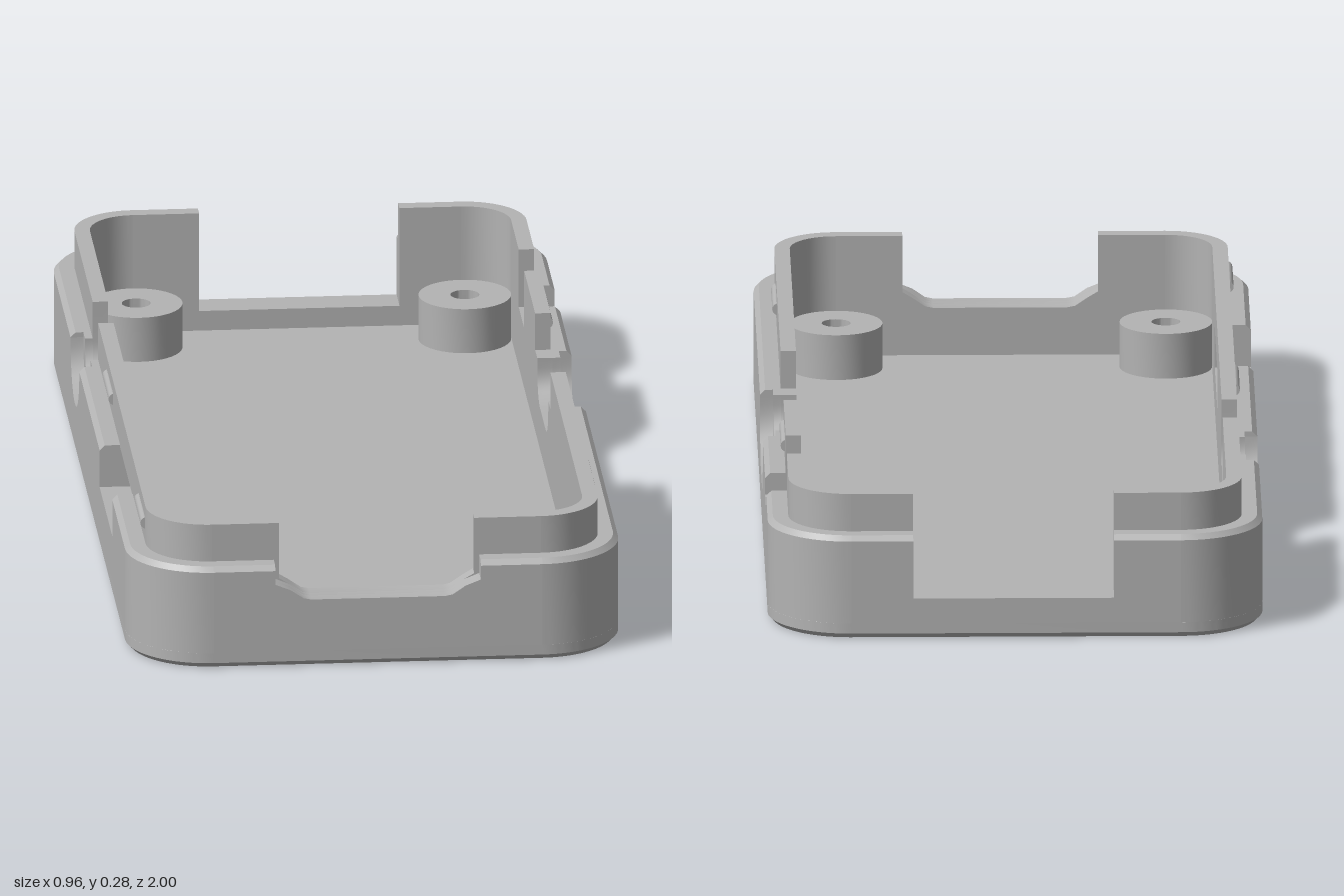
import * as THREE from 'three';
import { toCreasedNormals, mergeVertices } from 'three/addons/utils/BufferGeometryUtils.js';

const FLOOR = 0.04, BASE = 0.03, SHOULDER = 0.205, LIP = 0.28, CHAMFER = 0.01;
const CX = 0.32, CZ = 0.84; // corner and screw post centres
const TOP = 1;              // notch points at TOP are clipped to the wall's own top

const P = (list) => list.map(([x, y]) => new THREE.Vector2(x, y));

// Square notch, and notch with rounded lower corners
const box = (a, b, y) => [[a, TOP], [a, y], [b, y], [b, TOP]];
function round(a, b, y, r) {
  const pts = [[a, TOP]];
  for (let i = 0; i <= 8; i++) {
    const t = (i / 8) * Math.PI / 2;
    pts.push([a + r - r * Math.cos(t), y + r - r * Math.sin(t)]);
  }
  for (let i = 0; i <= 8; i++) {
    const t = (i / 8) * Math.PI / 2;
    pts.push([b - r + r * Math.sin(t), y + r - r * Math.cos(t)]);
  }
  pts.push([b, TOP]);
  return pts;
}

export function createModel() {
  const model = new THREE.Group();
  model.name = 'enclosureTray';
  const grey = new THREE.MeshStandardMaterial({ color: 0xb3b3b3 });
  grey.name = 'grey plastic';

  const add = (parent, name, geo, crease = 0.6) => {
    const mesh = new THREE.Mesh(toCreasedNormals(geo, crease), grey);
    mesh.name = name;
    parent.add(mesh);
    return mesh;
  };

  // Floor with chamfered lower edge
  const floor = new THREE.Shape();
  const r = 0.15;
  floor.absarc(CX, CZ, r, 0, Math.PI / 2);
  floor.absarc(-CX, CZ, r, Math.PI / 2, Math.PI);
  floor.absarc(-CX, -CZ, r, Math.PI, Math.PI * 1.5);
  floor.absarc(CX, -CZ, r, Math.PI * 1.5, Math.PI * 2);
  floor.closePath();
  const floorGeo = new THREE.ExtrudeGeometry(floor, {
    depth: FLOOR - 2 * CHAMFER, bevelThickness: CHAMFER, bevelSize: CHAMFER, bevelSegments: 1, curveSegments: 16,
  });
  floorGeo.rotateX(-Math.PI / 2).translate(0, CHAMFER, 0);
  add(model, 'floor', floorGeo);

  // Rounded corners and screw posts
  const cornerProfile = P([[0.16, BASE], [0.16, SHOULDER - CHAMFER], [0.15, SHOULDER], [0.12, SHOULDER],
    [0.12, LIP], [0.09, LIP], [0.09, BASE]]);
  const postProfile = P([[0.09, FLOOR - 0.005], [0.09, 0.13], [0.028, 0.13], [0.028, FLOOR - 0.005]]);
  [[1, 1], [1, -1], [-1, -1], [-1, 1]].forEach(([sx, sz], k) => {
    const corner = new THREE.LatheGeometry(cornerProfile, 16, k * Math.PI / 2, Math.PI / 2);
    add(model, 'corner', corner).position.set(sx * CX, 0, sz * CZ);
    const post = new THREE.LatheGeometry(postProfile, 40);
    add(model, 'screwPost', post).position.set(sx * CX, 0, sz * CZ);
  });

  // One upright layer of a wall, with notches in its top edge
  function layer(parent, name, half, d0, d1, top, notches, hole) {
    const pts = [[-half, BASE], [-half, top]];
    notches.forEach((n) => n.forEach(([a, y]) => pts.push([a, Math.min(y, top)])));
    pts.push([half, top], [half, BASE]);
    const shape = new THREE.Shape(P(pts.reverse()));
    if (hole) {
      const [a, b, y0, y1] = hole;
      shape.holes.push(new THREE.Path(P([[a, y0], [a, y1], [b, y1], [b, y0]])));
    }
    const geo = new THREE.ExtrudeGeometry(shape, { depth: d1 - d0, bevelEnabled: false });
    add(parent, name, geo.translate(0, 0, d0));
  }

  // Straight wall: outer skin, core, raised lip and chamfered rim
  function wall({ name, angle, half, out, skin, core, lip, hole, clips = [] }) {
    const g = new THREE.Group();
    g.name = name;
    g.rotation.y = angle;
    model.add(g);
    const d = out - 0.025;
    layer(g, 'wallSkin', half, d, out, SHOULDER - CHAMFER, skin);
    layer(g, 'wallCore', half, out - 0.04, d, SHOULDER, core);
    layer(g, 'lip', half, out - 0.07, out - 0.04, LIP, lip, hole);
    // Rim runs between the notches
    const stops = [-half, ...skin.flatMap((n) => [n[0][0], n[n.length - 1][0]]), half];
    for (let i = 0; i < stops.length; i += 2) {
      const section = new THREE.Shape(P([[d, SHOULDER - CHAMFER], [out, SHOULDER - CHAMFER],
        [out - CHAMFER, SHOULDER], [d, SHOULDER]]));
      const rim = new THREE.ExtrudeGeometry(section, { depth: stops[i + 1] - stops[i], bevelEnabled: false });
      add(g, 'rim', rim.rotateY(-Math.PI / 2).translate(stops[i + 1], 0, 0));
    }
    // Snap ridges on the lip
    clips.forEach((a) => {
      const ridge = new THREE.CylinderGeometry(0.012, 0.012, 0.148, 16).rotateZ(Math.PI / 2);
      add(g, 'snapRidge', ridge).position.set(a, 0.243, out - 0.043);
    });
  }

  // Front: shallow sloped opening
  const slope = (w) => [[-w, TOP], [-w, 0.167], [-0.17, 0.155], [-0.145, 0.138], [-0.13, 0.135],
    [0.13, 0.135], [0.145, 0.138], [0.17, 0.155], [w, 0.167], [w, TOP]];
  wall({ name: 'frontWall', angle: 0, half: CX, out: 1,
    skin: [slope(0.2)], core: [slope(0.2)], lip: [slope(0.19)] });

  // Back: deep square opening
  const backCut = [box(-0.2, 0.19, 0.08)];
  wall({ name: 'backWall', angle: Math.PI, half: CX, out: 1, skin: backCut, core: backCut, lip: backCut });

  // Right (+x): stepped rounded port and a small square notch
  const port = round(-0.04, 0.22, 0.125, 0.06);
  const small = box(0.53, 0.66, 0.162);
  const lipPort = [[-0.09, TOP], [-0.09, SHOULDER], ...port.slice(1, -1), [0.27, SHOULDER], [0.27, TOP]];
  lipPort.splice(2, 0, [-0.04, SHOULDER]);
  lipPort.splice(-2, 0, [0.22, SHOULDER]);
  wall({ name: 'plusXWall', angle: Math.PI / 2, half: CZ, out: 0.48,
    skin: [round(-0.08, 0.26, 0.075, 0.1), small], core: [port, small], lip: [lipPort, small],
    clips: [-0.605, 0.395] });

  // Left (-x): stepped round cable port and a slot window below the lip
  const cable = round(-0.41, -0.28, 0.135, 0.064);
  const slot = box(0.24, 0.54, 0.12);
  wall({ name: 'minusXWall', angle: -Math.PI / 2, half: CZ, out: 0.48,
    skin: [round(-0.45, -0.24, 0.095, 0.1), slot], core: [cable, slot], lip: [cable],
    hole: [0.24, 0.54, 0.12, 0.2], clips: [0, 0.755] });

  return model;
}
